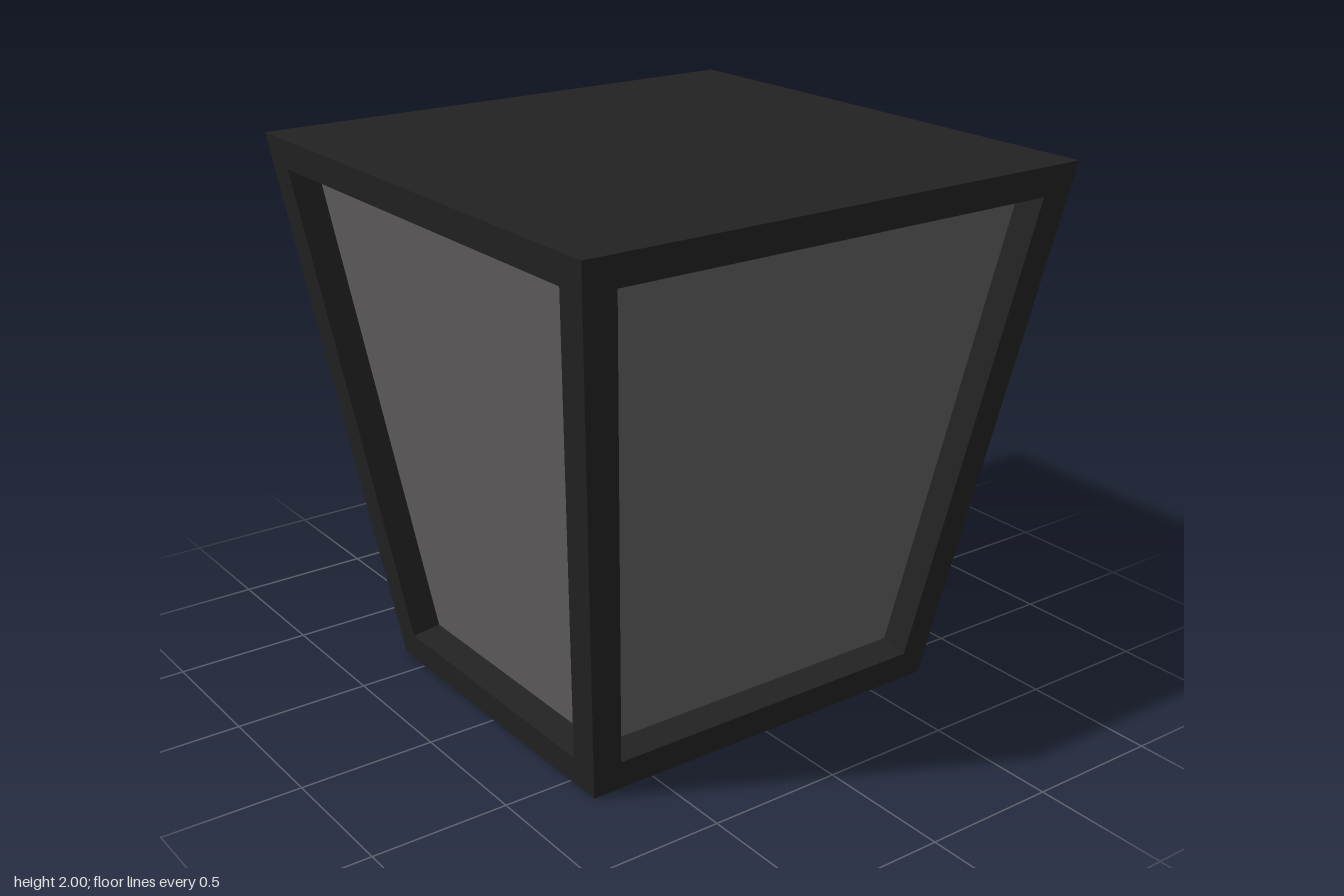
import * as THREE from 'three';

const H = 2, TOP = 1;          // height, half width of the square top
const BX = 0.64, BZ = 0.74;    // half sizes of the base
const DEPTH = 0.11;            // how far the panes sit behind the frame

// Flat-shaded mesh from a list of four-cornered faces
function quads(name, faces, material) {
  const pos = faces.flatMap(([a, b, c, d]) => [a, b, c, a, c, d]).flatMap((v) => v.toArray());
  const geo = new THREE.BufferGeometry();
  geo.setAttribute('position', new THREE.Float32BufferAttribute(pos, 3));
  geo.computeVertexNormals();
  const mesh = new THREE.Mesh(geo, material);
  mesh.name = name;
  return mesh;
}

// Strip of faces between two loops of corners
const band = (a, b) => a.map((p, i) => {
  const j = (i + 1) % a.length;
  return [p, a[j], b[j], b[i]];
});

// One sloping side facing +z: border, reveal and recessed pane
function createSide(name, halfBase, distBase, frame, glass) {
  const slope = (TOP - distBase) / H;
  const at = (x, y) => new THREE.Vector3(x, y, distBase + slope * y);
  const loop = (w0, y0, w1, y1) => [at(-w0, y0), at(w0, y0), at(w1, y1), at(-w1, y1)];
  const outer = loop(halfBase, 0, TOP, H);
  const hole = loop(halfBase - 0.097, 0.115, 0.865, 1.89);
  const inward = new THREE.Vector3(0, slope, -1).setLength(DEPTH);
  const pane = hole.map((p) => p.clone().add(inward));

  const side = new THREE.Group();
  side.name = name;
  side.add(quads('sideFrame', [...band(outer, hole), ...band(hole, pane)], frame));
  side.add(quads('pane', [pane], glass));
  return side;
}

export function createModel() {
  const frame = new THREE.MeshStandardMaterial({ color: 0x222222 });
  frame.name = 'blackMetal';
  const glass = new THREE.MeshStandardMaterial({ color: 0x5f5d5c });
  glass.name = 'greyGlass';

  const lantern = new THREE.Group();
  lantern.name = 'lantern';

  // Four sides, turned around the vertical axis
  ['frontSide', 'leftSide', 'backSide', 'rightSide'].forEach((name, i) => {
    const [half, dist] = i % 2 ? [BZ, BX] : [BX, BZ];
    const side = createSide(name, half, dist, frame, glass);
    side.rotation.y = (i * Math.PI) / 2;
    lantern.add(side);
  });

  // Closed top and base
  const rect = (x, y, z) => [[-x, z], [x, z], [x, -z], [-x, -z]]
    .map(([px, pz]) => new THREE.Vector3(px, y, pz));
  lantern.add(quads('topPlate', [rect(TOP, H, TOP)], frame));
  lantern.add(quads('basePlate', [rect(BX, 0, BZ).reverse()], frame));

  return lantern;
}
